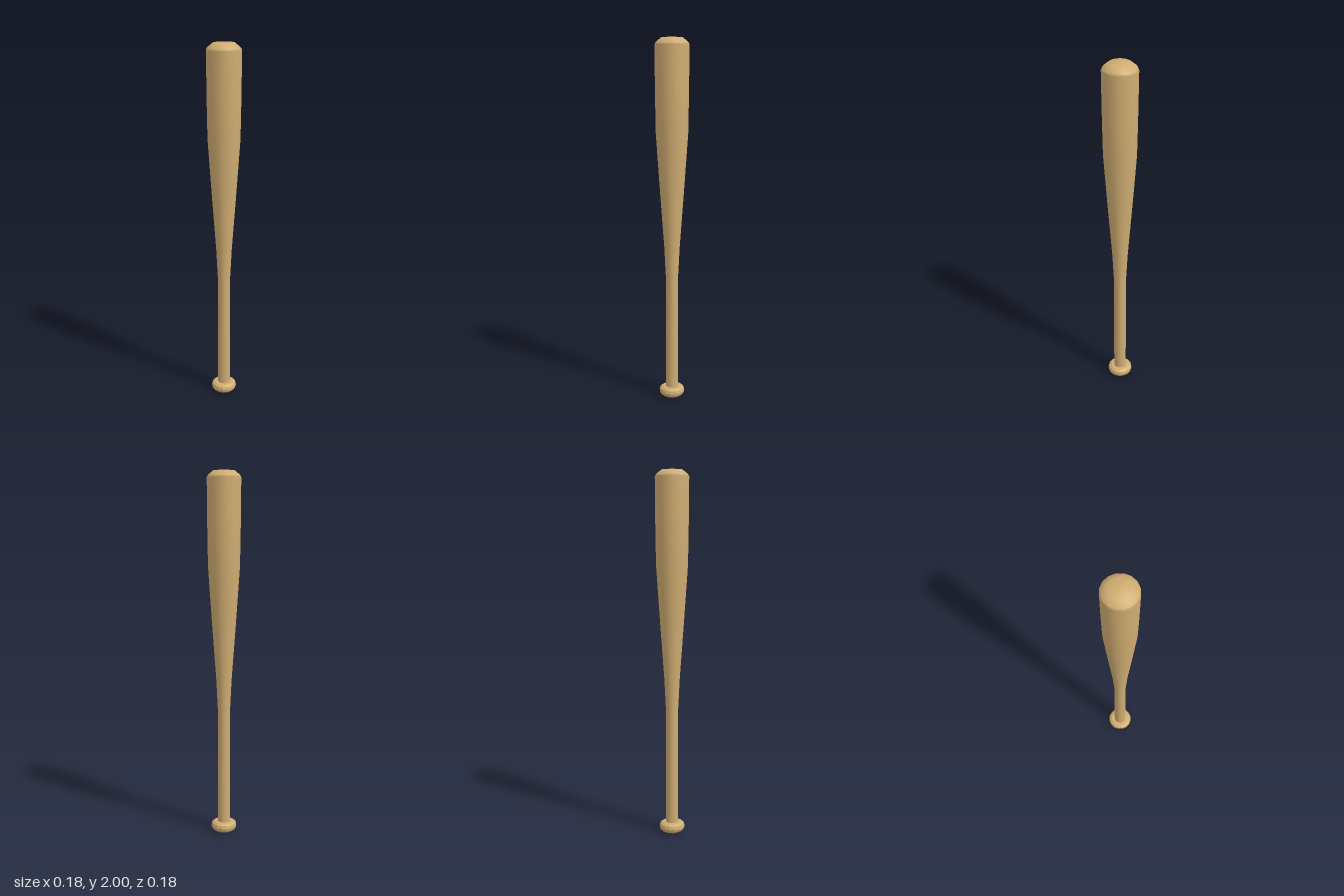
import * as THREE from 'three';

const SIDES = 16;

// Turns a list of [radius, height] pairs, bottom to top, into a lathed mesh
function turned(name, profile, flatShading) {
  const points = profile.map(([r, y]) => new THREE.Vector2(r, y));
  const material = new THREE.MeshStandardMaterial({ color: 0xd0ad72, flatShading });
  const mesh = new THREE.Mesh(new THREE.LatheGeometry(points, SIDES), material);
  mesh.name = name;
  return mesh;
}

export function createModel() {
  const bat = new THREE.Group();
  bat.name = 'bat';

  // Handle, taper, barrel and rounded tip in one smooth turning
  bat.add(turned('handleAndBarrel', [
    [0.035, 0.04], [0.035, 0.3], [0.033, 0.68], [0.043, 0.88],
    [0.065, 1.18], [0.087, 1.5], [0.09, 1.7], [0.092, 1.96],
    [0.086, 1.972], [0.057, 1.996], [0, 2.0],
  ], false));

  // Faceted knob at the end of the handle
  bat.add(turned('knob', [
    [0, 0], [0.052, 0.005], [0.066, 0.016], [0.071, 0.032],
    [0.067, 0.048], [0.054, 0.057], [0.034, 0.058],
  ], true));

  return bat;
}
